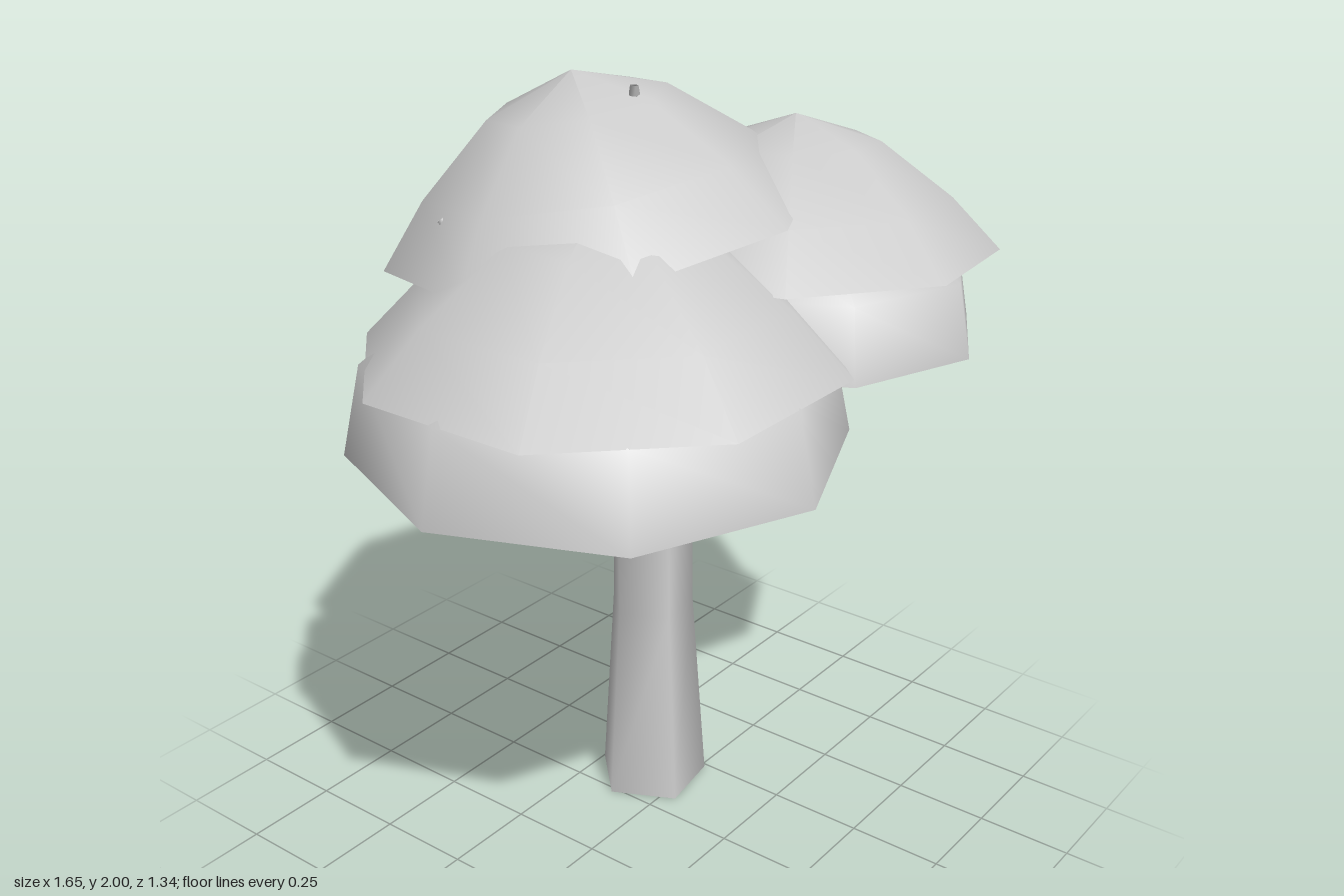
import * as THREE from 'three';

const material = new THREE.MeshStandardMaterial({ color: 0xcccccc, side: THREE.DoubleSide });

// Profiles as [radius, height] fractions, from the rim to the apex
const CAP = [[1, 0], [0.76, 0.39], [0.41, 0.8], [0, 1]];
const SKIRT = [[1, 0], [0.92, 0.49], [0.57, 0.8], [0, 1]];

// Open eight-sided leaf shell; turn is the angle of one rim corner in degrees
function leafShell(name, profile, { at, radius, height, turn, tilt = [0, 0] }) {
  const points = profile.map(([r, h]) => new THREE.Vector2(r * radius, h * height));
  const geometry = new THREE.LatheGeometry(points, 8, -THREE.MathUtils.degToRad(turn));
  const mesh = new THREE.Mesh(geometry, material);
  mesh.name = name;
  mesh.position.set(...at);
  mesh.rotation.set(tilt[0], 0, tilt[1]);
  return mesh;
}

// Five-sided trunk: level rings given as [x, y, z, radius]
function trunk(rings) {
  const geometry = new THREE.CylinderGeometry(1, 1, 1, 5, rings.length - 1, true);
  geometry.rotateY(Math.PI / 4);
  const p = geometry.attributes.position;
  for (let i = 0; i < p.count; i++) {
    const [x, y, z, r] = rings[Math.round((p.getY(i) + 0.5) * (rings.length - 1))];
    p.setXYZ(i, x + p.getX(i) * r, y, z + p.getZ(i) * r);
  }
  geometry.computeVertexNormals();
  // Join the shading across the seam
  const n = geometry.attributes.normal;
  for (let row = 0; row < rings.length; row++) {
    const a = row * 6, b = a + 5;
    const v = new THREE.Vector3().fromBufferAttribute(n, a)
      .add(new THREE.Vector3().fromBufferAttribute(n, b)).normalize();
    n.setXYZ(a, v.x, v.y, v.z);
    n.setXYZ(b, v.x, v.y, v.z);
  }
  const mesh = new THREE.Mesh(geometry, material);
  mesh.name = 'trunk';
  return mesh;
}

// Five-sided branch tapering along a curve
function branch(name, path, startRadius, endRadius) {
  const curve = new THREE.CatmullRomCurve3(path.map((q) => new THREE.Vector3(...q)));
  const steps = 6, sides = 5;
  const geometry = new THREE.TubeGeometry(curve, steps, 1, sides);
  const p = geometry.attributes.position;
  const v = new THREE.Vector3();
  for (let i = 0; i < p.count; i++) {
    const t = Math.floor(i / (sides + 1)) / steps;
    const centre = curve.getPointAt(t);
    v.fromBufferAttribute(p, i).sub(centre)
      .multiplyScalar(THREE.MathUtils.lerp(startRadius, endRadius, t)).add(centre);
    p.setXYZ(i, v.x, v.y, v.z);
  }
  const mesh = new THREE.Mesh(geometry, material);
  mesh.name = name;
  return mesh;
}

export function createModel() {
  const tree = new THREE.Group();
  tree.name = 'tree';

  // Wood
  tree.add(trunk([
    [0.133, 0, -0.097, 0.152],
    [0.133, 0.55, -0.1, 0.114],
    [0.142, 1.18, -0.11, 0.112],
    [0.08, 1.5, -0.09, 0.075],
    [-0.02, 1.78, -0.03, 0.045],
    [-0.085, 1.985, 0.02, 0.01],
  ]));
  tree.add(
    branch('backLeftBranch', [[0.14, 1.13, -0.12], [0.44, 1.3, -0.14], [0.58, 1.48, -0.23], [0.66, 1.67, -0.3]], 0.075, 0.012),
    branch('rightBranch', [[0.14, 1.1, -0.1], [-0.14, 1.25, -0.02], [-0.33, 1.47, -0.14], [-0.41, 1.7, -0.28]], 0.08, 0.01),
    branch('frontLeftBranch', [[0.13, 1.3, -0.1], [0.24, 1.5, 0.07], [0.34, 1.8, 0.18]], 0.06, 0.01),
  );

  // Foliage: flat caps, two of them with a steeper skirt below
  const leftTilt = [-0.04, -0.044];
  tree.add(
    leafShell('rightFoliageSkirt', SKIRT, { at: [-0.24, 1.18, 0.04], radius: 0.595, height: 0.45, turn: 0 }),
    leafShell('rightFoliageCap', CAP, { at: [-0.245, 1.4, 0.05], radius: 0.58, height: 0.37, turn: 22.5 }),
    leafShell('frontLeftFoliageSkirt', SKIRT, { at: [0.33, 1.345, 0.185], radius: 0.475, height: 0.36, turn: 38.5, tilt: [0, -0.035] }),
    leafShell('frontLeftFoliageCap', CAP, { at: [0.33, 1.548, 0.185], radius: 0.5, height: 0.32, turn: 13.5, tilt: leftTilt }),
    leafShell('backLeftFoliageCap', CAP, { at: [0.37, 1.458, -0.21], radius: 0.475, height: 0.37, turn: 13.5, tilt: [0.017, -0.23] }),
    leafShell('topFoliageCap', CAP, { at: [-0.05, 1.635, -0.11], radius: 0.52, height: 0.368, turn: 43, tilt: [-0.14, 0.1] }),
  );
  return tree;
}
